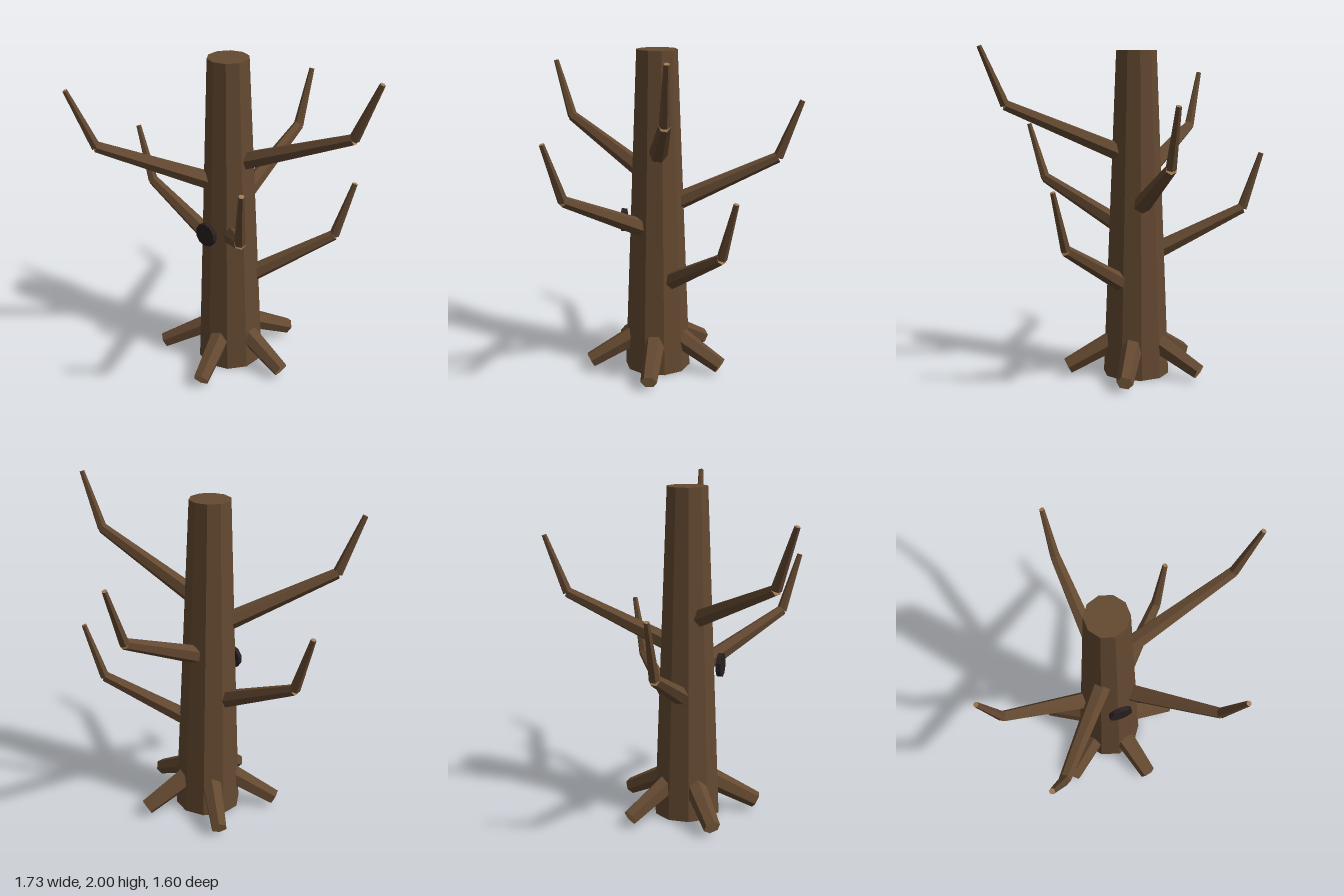
import * as THREE from 'three';

export function createModel() {
  const tree = new THREE.Group();
  tree.name = 'bareTree';

  const flat = (name, color) => {
    const m = new THREE.MeshStandardMaterial({ color, flatShading: true });
    m.name = name;
    return m;
  };
  const bark = flat('bark', 0x644931);
  const wood = flat('cutWood', 0xa07c52);
  const hollow = flat('darkHollow', 0x2a2020);

  const CX = -0.077, CZ = 0.07; // trunk axis

  // Tapered hexagonal limb from a to b, with a pale cut at the outer end
  const limb = (name, a, b, ra, rb) => {
    const dir = b.clone().sub(a);
    const geo = new THREE.CylinderGeometry(rb, ra, dir.length(), 6);
    const mesh = new THREE.Mesh(geo, [bark, wood, bark]);
    mesh.name = name;
    mesh.position.copy(a).lerp(b, 0.5);
    mesh.quaternion.setFromUnitVectors(new THREE.Vector3(0, 1, 0), dir.normalize());
    return mesh;
  };

  // Trunk
  const trunk = new THREE.Mesh(new THREE.CylinderGeometry(0.122, 0.201, 1.97, 10), bark);
  trunk.name = 'trunk';
  trunk.position.set(CX, 0.985, CZ);
  tree.add(trunk);

  // Branches: height on the trunk axis, elbow, tip
  const branches = [
    [1.32, [0.71, 1.655, -0.055], [0.852, 1.99, -0.08]],
    [1.175, [-0.545, 1.49, 0.67], [-0.635, 1.835, 0.785]],
    [0.70, [-0.74, 1.01, 0.065], [-0.855, 1.35, 0.06]],
    [0.855, [0.43, 1.17, 0.545], [0.522, 1.51, 0.635]],
    [0.51, [0.40, 0.85, -0.345], [0.478, 1.19, -0.425]],
    [1.00, [-0.135, 1.33, -0.65], [-0.145, 1.67, -0.785]],
  ];
  branches.forEach(([y, e, t], i) => {
    const root = new THREE.Vector3(CX, y, CZ);
    const elbow = new THREE.Vector3(...e);
    const tip = new THREE.Vector3(...t);
    const branch = new THREE.Group();
    branch.name = `branch${i + 1}`;
    branch.add(
      limb('lowerBranch', root, elbow, 0.06, 0.033),
      limb('upperBranch', elbow, tip, 0.031, 0.016)
    );
    tree.add(branch);
  });

  // Five roots spread evenly around the base
  for (let i = 0; i < 5; i++) {
    const angle = (i / 5) * Math.PI * 2 + 0.02;
    const at = (r, y) => new THREE.Vector3(CX + r * Math.cos(angle), y, CZ + r * Math.sin(angle));
    tree.add(limb(`root${i + 1}`, at(0.13, 0.21), at(0.423, 0.055), 0.065, 0.05));
  }

  // Round hollow on the front
  const knot = new THREE.Mesh(new THREE.CylinderGeometry(0.072, 0.072, 0.028, 10), hollow);
  knot.name = 'knotHole';
  knot.rotation.x = Math.PI / 2;
  knot.position.set(-0.077, 0.933, 0.274);
  tree.add(knot);

  return tree;
}
